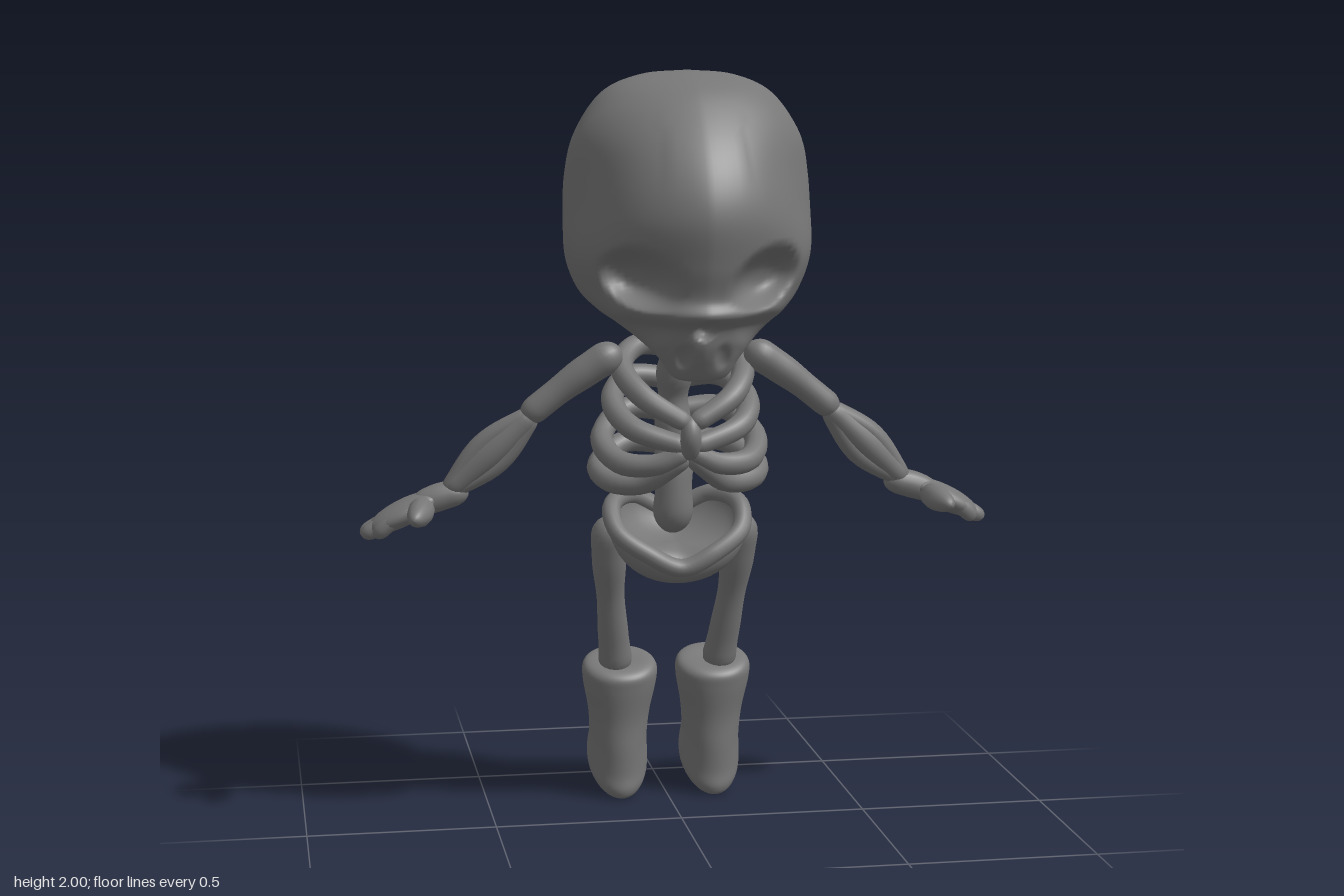
import * as THREE from 'three';

const material = new THREE.MeshStandardMaterial({ color: 0x777777 });
const V = (x, y, z) => new THREE.Vector3(x, y, z);

function add(parent, name, geometry) {
  const mesh = new THREE.Mesh(geometry, material);
  mesh.name = name;
  parent.add(mesh);
  return mesh;
}

// Skin a list of closed rings, each an array of Vector3
function skin(rings) {
  const n = rings[0].length, index = [];
  for (let i = 0; i < rings.length - 1; i++) {
    for (let j = 0; j < n; j++) {
      const a = i * n + j, b = i * n + (j + 1) % n;
      index.push(a, a + n, b, b, a + n, b + n);
    }
  }
  const geometry = new THREE.BufferGeometry().setFromPoints(rings.flat());
  geometry.setIndex(index);
  geometry.computeVertexNormals();
  return geometry;
}

// Rings from rows of [front z, front y, back z, back y, half width], top to bottom;
// the front half is pointed by frontPower
function rowRings(rows, steps, sides, cx, frontPower) {
  const front = new THREE.CatmullRomCurve3(rows.map(r => V(r[4], r[1], r[0])), false, 'catmullrom');
  const back = new THREE.CatmullRomCurve3(rows.map(r => V(0, r[3], r[2])), false, 'catmullrom');
  return Array.from({ length: steps + 1 }, (_, i) => {
    const f = front.getPoint(i / steps), b = back.getPoint(i / steps);
    return Array.from({ length: sides }, (_, j) => {
      const a = j / sides * Math.PI * 2, s = Math.sin(a), k = (1 + Math.cos(a)) / 2;
      const power = k < 0.5 ? 0.87 : frontPower;
      const x = f.x * Math.sign(s) * Math.abs(s) ** power;
      return V(cx + x, b.y + (f.y - b.y) * k, b.z + (f.z - b.z) * k);
    });
  });
}

// Round-ended bone along a curve, radius blended through a list
function bone(points, radii, steps = 28, sides = 18) {
  const curve = new THREE.CatmullRomCurve3(points.map(p => V(...p)));
  const length = curve.getLength();
  const frames = curve.computeFrenetFrames(200, false);
  const rings = [];
  for (let i = 0; i <= steps; i++) {
    const t = (1 - Math.cos(Math.PI * i / steps)) / 2;
    const u = t * (radii.length - 1), k = Math.min(Math.floor(u), radii.length - 2);
    let r = THREE.MathUtils.lerp(radii[k], radii[k + 1], THREE.MathUtils.smoothstep(u - k, 0, 1));
    const d = Math.min(t, 1 - t) * length / (1.3 * r);
    if (d < 1) r *= Math.sqrt(Math.max(0, 1 - (1 - d) ** 2));
    const center = curve.getPointAt(t), f = Math.round(t * 200);
    rings.push(Array.from({ length: sides }, (_, j) => {
      const a = j / sides * Math.PI * 2;
      return center.clone()
        .addScaledVector(frames.normals[f], r * Math.cos(a))
        .addScaledVector(frames.binormals[f], -r * Math.sin(a));
    }));
  }
  return skin(rings);
}

function buildSkull() {
  const rings = rowRings([
    [0.08, 2, 0.08, 2, 0], [0.15, 1.987, 0.01, 1.99, 0.12], [0.25, 1.94, -0.1, 1.945, 0.22],
    [0.354, 1.84, -0.19, 1.84, 0.29], [0.42, 1.735, -0.236, 1.735, 0.316],
    [0.444, 1.63, -0.254, 1.63, 0.32], [0.42, 1.52, -0.24, 1.53, 0.315],
    [0.395, 1.44, -0.205, 1.45, 0.285], [0.408, 1.395, -0.14, 1.397, 0.24],
    [0.366, 1.36, -0.02, 1.376, 0.2], [0.35, 1.31, 0.07, 1.35, 0.15],
    [0.33, 1.27, 0.18, 1.3, 0.105], [0.3, 1.227, 0.24, 1.24, 0.065], [0.27, 1.225, 0.27, 1.225, 0],
  ], 104, 96, 0, 1.25);
  // Hollows: x, y, radius x, radius y, depth, slant
  const hollows = [
    [0.16, 1.487, 0.105, 0.085, 0.1, 0.25],
    [0.15, 1.36, 0.08, 0.06, 0.015, 0],
    [0.05, 1.29, 0.025, 0.04, 0.012, 0],
    [0, 1.36, 0.03, 0.03, 0.04, 0],
  ];
  for (const p of rings.flat()) {
    const ax = Math.abs(p.x), side = Math.sign(p.x), { y, z } = p;
    if (z > 0.15) {
      for (const [hx, hy, rx, ry, depth, slant] of hollows) {
        const dx = ax - hx, dy = y - hy - slant * dx;
        const d = (dx / rx) ** 2 + (dy / ry) ** 2;
        if (d < 1) p.z -= depth * (1 - d ** 1.4) ** 2;
      }
    }
    // Temples
    const q = ((z - 0.25) / 0.18) ** 2 + ((y - 1.72) / 0.2) ** 2;
    if (q < 1 && ax > 0.1) p.x -= side * 0.03 * (1 - q) ** 2;
  }
  return skin(rings);
}

function buildPelvis() {
  const half = [[0.09, 0.73, 0.005], [0.165, 0.785, -0.03], [0.172, 0.845, -0.1], [0.11, 0.86, -0.175]];
  const rim = new THREE.CatmullRomCurve3([
    V(0, 0.69, 0.005), ...half.map(p => V(...p)), V(0, 0.815, -0.205),
    ...half.slice().reverse().map(([x, y, z]) => V(-x, y, z)),
  ], true);
  const edge = rim.getPoints(72).slice(0, 72);
  const bowl = (c, a, shrink) => edge.map(p => {
    const k = Math.cos(a) * shrink;
    return V(c.x + (p.x - c.x) * k, p.y + (c.y - p.y) * Math.sin(a), c.z + (p.z - c.z) * k);
  });
  const inner = V(0, 0.745, -0.1), outer = V(0, 0.64, -0.05), rings = [];
  for (let i = 10; i >= 0; i--) rings.push(bowl(inner, i / 10 * Math.PI / 2, 0.9));
  for (let i = 0; i <= 12; i++) rings.push(bowl(outer, i / 12 * Math.PI / 2, 1.07));
  return [skin(rings), new THREE.TubeGeometry(rim, 72, 0.025, 12, true)];
}

export function createModel() {
  const model = new THREE.Group();
  add(model, 'skull', buildSkull());

  // Spine with vertebra swellings
  add(model, 'spine', bone([[0, 1.44, 0.07], [0, 1.3, -0.06], [0, 1.15, -0.135], [0, 1, -0.145],
    [0, 0.88, -0.13], [0, 0.76, -0.15]],
    [0.045, 0.05, 0.04, 0.05, 0.04, 0.05, 0.04, 0.05, 0.045, 0.055, 0.05, 0.055, 0.055], 60));
  add(model, 'breastbone', bone([[0, 1.115, 0.135], [0, 1.06, 0.145], [0, 1, 0.115]], [0.022, 0.028, 0.024]));

  const [basin, brim] = buildPelvis();
  add(model, 'pelvis', basin);
  add(model, 'pelvisRim', brim);

  // Rib paths on one side, from spine to breast
  const ribs = [
    [[0, 1.27, -0.1], [0.1, 1.28, -0.08], [0.16, 1.235, 0], [0.12, 1.165, 0.1], [0, 1.09, 0.145]],
    [[0, 1.18, -0.15], [0.12, 1.19, -0.13], [0.18, 1.14, -0.03], [0.145, 1.08, 0.07], [0, 1.03, 0.13]],
    [[0, 1.09, -0.165], [0.13, 1.1, -0.15], [0.206, 1.035, -0.05], [0.17, 0.985, 0.05], [0.08, 0.985, 0.1], [0, 1.025, 0.12]],
    [[0, 1, -0.165], [0.13, 1.01, -0.15], [0.213, 0.96, -0.07], [0.19, 0.93, 0], [0.11, 0.93, 0.05], [0.05, 0.97, 0.09], [0, 1.01, 0.11]],
  ];

  for (const s of [1, -1]) {
    const side = new THREE.Group();
    side.name = s > 0 ? 'leftSide' : 'rightSide';
    model.add(side);
    const limb = (name, points, radii, steps, sides) =>
      add(side, name, bone(points.map(([x, y, z]) => [x * s, y, z]), radii, steps, sides));

    for (const path of ribs) limb('rib', path, [0.03, 0.03, 0.031, 0.026], 40, 12);

    // Arm
    limb('upperArm', [[0.167, 1.283, 0.035], [0.29, 1.2, 0.015], [0.42, 1.097, -0.005]], [0.046, 0.042, 0.036, 0.036]);
    limb('forearm', [[0.385, 1.12, 0], [0.62, 0.9, -0.045]], [0.03, 0.04, 0.03]);
    for (const k of [1, -1]) {
      limb('forearmBone', [[0.39, 1.115, 0], [0.5 + 0.022 * k, 1.01 + 0.024 * k, -0.022], [0.62, 0.9, -0.042]],
        [0.026, 0.028, 0.024], 24, 12);
    }
    limb('wrist', [[0.56, 0.905, -0.04], [0.62, 0.895, -0.048], [0.71, 0.865, -0.05]], [0.032, 0.037, 0.032]);

    // Hand
    const palm = add(side, 'palm', new THREE.SphereGeometry(1, 28, 20));
    palm.scale.set(0.105, 0.034, 0.066);
    palm.position.set(0.728 * s, 0.852, -0.054);
    palm.rotation.z = -0.45 * s;
    [-0.099, -0.073, -0.045, -0.02].forEach((z, i) => {
      const reach = [0.815, 0.842, 0.84, 0.808][i];
      limb('finger', [[0.71, 0.86, z], [0.77, 0.83, z], [reach, 0.793, z * 0.9 - 0.006]], [0.022, 0.024, 0.022], 16, 10);
    });
    limb('thumb', [[0.68, 0.87, -0.04], [0.69, 0.862, 0.02], [0.712, 0.852, 0.094]], [0.036, 0.034, 0.02], 18, 12);

    // Leg
    limb('thigh', [[0.183, 0.815, -0.093], [0.168, 0.6, -0.165], [0.14, 0.35, -0.25]],
      [0.05, 0.047, 0.038, 0.042, 0.05]);
    add(side, 'boot', skin(rowRings([
      [-0.25, 0.385, -0.25, 0.385, 0], [-0.2, 0.374, -0.305, 0.41, 0.07], [-0.168, 0.35, -0.338, 0.405, 0.1],
      [-0.17, 0.31, -0.35, 0.365, 0.102], [-0.187, 0.22, -0.37, 0.29, 0.086], [-0.191, 0.14, -0.395, 0.22, 0.079],
      [-0.196, 0.07, -0.425, 0.165, 0.083], [-0.194, 0.025, -0.433, 0.13, 0.079],
      [-0.212, 0.004, -0.4, 0.095, 0.06], [-0.26, 0.022, -0.35, 0.068, 0.03], [-0.31, 0.045, -0.31, 0.045, 0],
    ], 60, 40, 0.13 * s, 1)));
  }
  return model;
}
